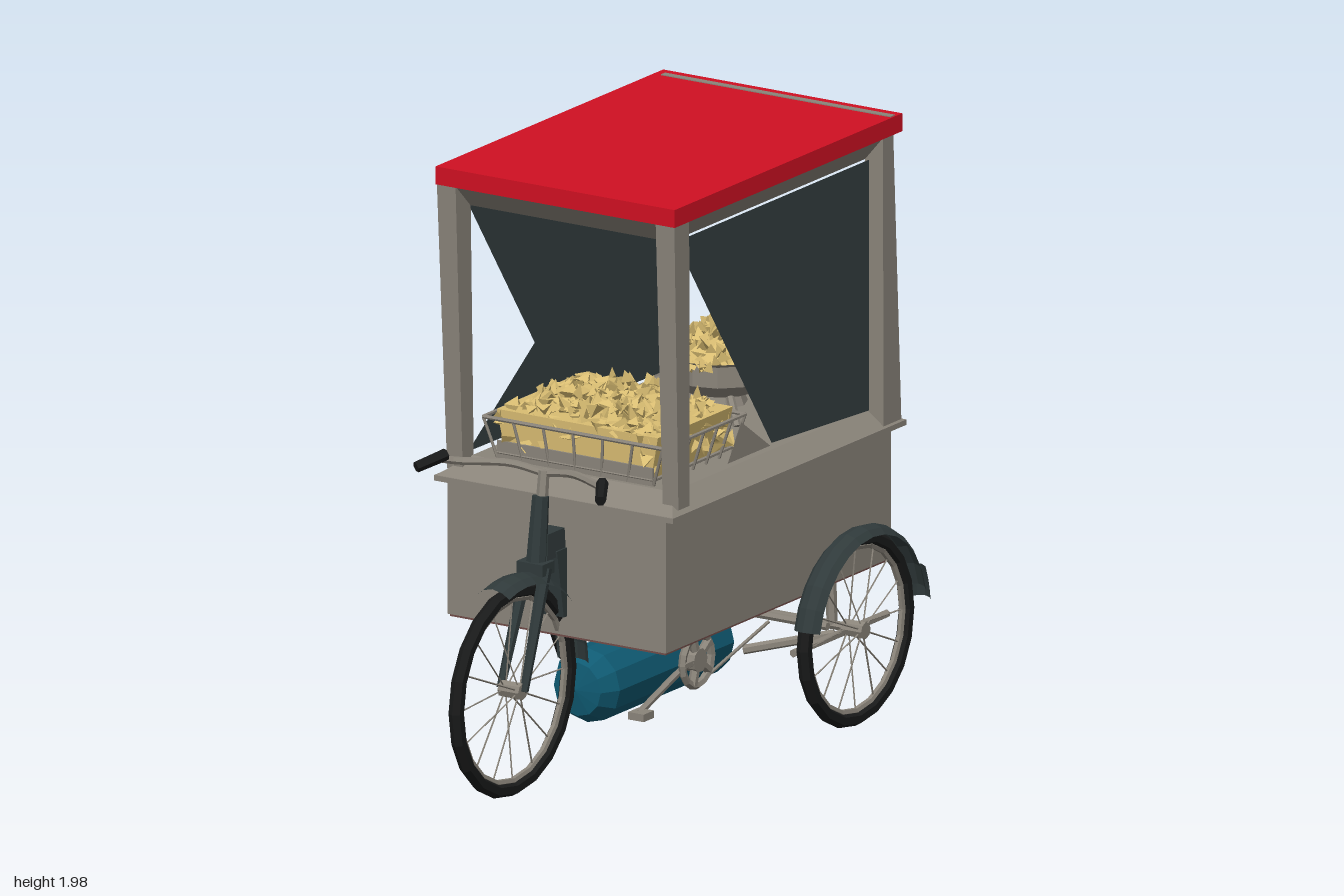
import * as THREE from 'three';
import { mergeGeometries } from 'three/addons/utils/BufferGeometryUtils.js';

const mat = (name, color, side = THREE.FrontSide) =>
  new THREE.MeshStandardMaterial({ name, color, side, flatShading: true });
const M = {
  steel: mat('steel grey', 0x8a847a, THREE.DoubleSide),
  red: mat('roof red', 0xd01022),
  panel: mat('dark panel', 0x353f41, THREE.DoubleSide),
  tyre: mat('tyre black', 0x191a1a),
  frame: mat('frame charcoal', 0x303a3b, THREE.DoubleSide),
  teal: mat('tank teal', 0x0f5a72),
  food: mat('snack gold', 0xd9bd72),
  floor: mat('floor brown', 0x704c48),
};
const V = (p) => new THREE.Vector3(...p);

export function createModel() {
  const root = new THREE.Group();
  root.name = 'foodCart';
  const add = (name, geo, material, parent = root) => {
    const m = new THREE.Mesh(geo, material);
    m.name = name;
    parent.add(m);
    return m;
  };
  // Box given by its limits
  const box = (x0, x1, y0, y1, z0, z1) =>
    new THREE.BoxGeometry(x1 - x0, y1 - y0, z1 - z0).translate((x0 + x1) / 2, (y0 + y1) / 2, (z0 + z1) / 2);
  // Tapered block: b and t are [x0, x1, z0, z1] at heights y0 and y1
  const taper = (b, t, y0, y1) => {
    const g = new THREE.BoxGeometry(1, 1, 1), p = g.attributes.position;
    for (let i = 0; i < p.count; i++) {
      const up = p.getY(i) > 0, q = up ? t : b;
      p.setXYZ(i, q[p.getX(i) > 0 ? 1 : 0], up ? y1 : y0, q[p.getZ(i) > 0 ? 3 : 2]);
    }
    g.computeVertexNormals();
    return g;
  };
  // Straight rod between two points
  const rod = (a, b, r, r2 = r, n = 6) => {
    const A = V(a), B = V(b), d = B.clone().sub(A);
    const g = new THREE.CylinderGeometry(r2, r, d.length(), n);
    g.applyQuaternion(new THREE.Quaternion().setFromUnitVectors(V([0, 1, 0]), d.normalize()));
    return g.translate(...A.add(B).multiplyScalar(0.5).toArray());
  };
  const tube = (pts, r) => new THREE.TubeGeometry(new THREE.CatmullRomCurve3(pts.map(V)), 10, r, 6);

  // Cargo box, rim and counter
  add('cargoBox', box(-0.42, 0.42, 0.485, 0.935, -0.94, 0.38), M.steel);
  add('boxFloor', box(-0.415, 0.415, 0.477, 0.486, -0.935, 0.375), M.floor);
  add('rim', box(-0.46, 0.46, 0.93, 0.948, -0.97, 0.4), M.steel);
  add('counter', taper([-0.455, 0.455, -0.965, 0.395], [-0.385, 0.385, -0.85, 0.29], 0.948, 1.0), M.steel);

  // Roof with its soffit and rear strip
  add('soffit', taper([-0.385, 0.385, -0.84, 0.3], [-0.455, 0.455, -0.925, 0.385], 1.84, 1.922), M.steel);
  add('roof', box(-0.46, 0.46, 1.92, 1.98, -0.945, 0.39), M.red);
  add('roofStrip', box(-0.43, 0.455, 1.979, 1.983, -0.91, -0.885), M.steel);

  // Corner posts and side panels
  for (const s of [-1, 1]) {
    const xs = (a, b) => (s > 0 ? [a, b] : [-b, -a]);
    add('frontPost', taper([...xs(0.385, 0.445), 0.28, 0.345], [...xs(0.385, 0.457), 0.3, 0.387], 0.96, 1.92), M.steel);
    add('backPost', taper([...xs(0.385, 0.45), -0.955, -0.85], [...xs(0.385, 0.455), -0.9, -0.84], 0.95, 1.92), M.steel);
    const pts = s > 0
      ? [[0.29, 1.84], [-0.27, 1.03], [-0.84, 1.0], [-0.84, 1.84]]
      : [[0.29, 1.84], [-0.1, 1.28], [0.29, 1.01], [-0.84, 1.0], [-0.84, 1.84]];
    const shape = new THREE.Shape(pts.map(([z, y]) => new THREE.Vector2(-z, y)));
    add('sidePanel', new THREE.ShapeGeometry(shape).rotateY(Math.PI / 2).translate(s * 0.4, 0, 0), M.panel);
  }
  const flap = new THREE.Shape([[0.02, 1.02], [0.27, 1.02], [0.1, 1.14]].map((p) => new THREE.Vector2(...p)));
  add('sideFlap', new THREE.ShapeGeometry(flap).rotateY(Math.PI / 2).translate(0.395, 0, 0), M.steel);

  // Snack heaps: a mound covered in small random flakes
  let seed = 7;
  const rnd = () => (seed = (seed * 16807) % 2147483647) / 2147483647;
  const heap = (name, count, place) => {
    const list = [];
    for (let i = 0; i < count; i++) {
      const g = new THREE.TetrahedronGeometry(0.035);
      g.scale(0.6 + rnd() * 0.7, 0.4 + rnd() * 0.4, 0.6 + rnd() * 0.7);
      g.rotateX(rnd() * 6).rotateY(rnd() * 6).rotateZ(rnd() * 6);
      list.push(g.translate(...place()));
    }
    add(name, mergeGeometries(list), M.food);
  };
  add('trayFill', taper([-0.28, 0.28, -0.17, 0.255], [-0.31, 0.31, -0.18, 0.26], 1.01, 1.16), M.food);
  heap('trayHeap', 420, () => {
    const u = rnd() * 2 - 1, w = rnd() * 2 - 1;
    const edge = Math.max(Math.abs(u), Math.abs(w));
    const top = 1.225 - 0.05 * u * u - 0.02 * w * w;
    return [u * 0.31, edge > 0.88 ? 1.04 + rnd() * (top - 1.05) : top - rnd() * 0.05, 0.04 + w * 0.225];
  });
  add('potFill', new THREE.ConeGeometry(0.16, 0.14, 10).translate(0, 1.23, -0.58), M.food);
  heap('potHeap', 150, () => {
    const a = rnd() * 6.283, r = Math.sqrt(rnd());
    return [Math.cos(a) * r * 0.165, 1.305 - r * r * 0.11 - rnd() * 0.02, -0.58 + Math.sin(a) * r * 0.165];
  });

  // Wire tray around the front heap
  const tray = [];
  const ring = (y, x, z0, z1) => {
    const c = [[-x, y, z0], [x, y, z0], [x, y, z1], [-x, y, z1]];
    c.forEach((p, i) => tray.push(rod(p, c[(i + 1) % 4], 0.007)));
  };
  ring(1.02, 0.3, -0.19, 0.27);
  ring(1.135, 0.345, -0.2, 0.285);
  for (let i = 0; i <= 6; i++) {
    const t = i / 3 - 1;
    for (const s of [-1, 1]) {
      tray.push(rod([t * 0.3, 1.0, 0.04 + s * 0.23], [t * 0.345, 1.135, 0.043 + s * 0.243], 0.005));
      tray.push(rod([s * 0.3, 1.0, 0.04 + t * 0.23], [s * 0.345, 1.135, 0.043 + t * 0.243], 0.005));
    }
  }
  add('wireTray', mergeGeometries(tray), M.steel);
  add('trayFront', box(-0.3, 0.3, 1.0, 1.06, 0.268, 0.275), M.steel);

  // Pot on a small burner stand
  const pot = [[0, 1.08], [0.13, 1.08], [0.165, 1.12], [0.165, 1.19], [0.175, 1.2]].map((p) => new THREE.Vector2(...p));
  add('pot', new THREE.LatheGeometry(pot, 12).translate(0, 0, -0.58), M.steel);
  add('burner', new THREE.CylinderGeometry(0.07, 0.09, 0.05, 8).translate(0, 1.055, -0.58), M.steel);
  for (const x of [-1, 1]) for (const z of [-1, 1])
    add('burnerLeg', rod([x * 0.15, 1.0, -0.58 + z * 0.13], [x * 0.09, 1.08, -0.58 + z * 0.08], 0.014), M.steel);

  // Spoked wheel
  const wheel = (name, x, y, z, R) => {
    const g = new THREE.Group();
    g.name = name;
    g.position.set(x, y, z);
    add('tyre', new THREE.TorusGeometry(R - 0.025, 0.025, 6, 20).rotateY(Math.PI / 2), M.tyre, g);
    add('wheelRim', new THREE.TorusGeometry(R - 0.05, 0.011, 5, 20).rotateY(Math.PI / 2), M.steel, g);
    add('hub', rod([-0.04, 0, 0], [0.04, 0, 0], 0.028, 0.028, 8), M.steel, g);
    const spokes = [];
    for (let i = 0; i < 16; i++) {
      const a = (i / 16) * Math.PI * 2, c = Math.cos(a), s = Math.sin(a);
      spokes.push(rod([(i % 2 - 0.5) * 0.05, 0.02 * s, 0.02 * c], [0, (R - 0.05) * s, (R - 0.05) * c], 0.003, 0.003, 4));
    }
    add('spokes', mergeGeometries(spokes), M.steel, g);
    root.add(g);
  };
  // Curved mudguard, angles in degrees from the front over the top
  const fender = (name, x, y, z, r, w, from, to) => {
    const prof = [[r - 0.02, -w], [r, -w * 0.6], [r + 0.01, 0], [r, w * 0.6], [r - 0.02, w]];
    const rad = Math.PI / 180;
    const g = new THREE.LatheGeometry(prof.map((p) => new THREE.Vector2(...p)), 12, from * rad, (to - from) * rad);
    add(name, g.rotateZ(Math.PI / 2).translate(x, y, z), M.frame);
  };
  wheel('frontWheel', 0, 0.36, 0.64, 0.355);
  fender('frontFender', 0, 0.36, 0.64, 0.375, 0.06, 72, 178);
  for (const s of [-1, 1]) {
    wheel('rearWheel', s * 0.48, 0.33, -0.64, 0.325);
    fender('rearFender', s * 0.498, 0.33, -0.64, 0.338, 0.05, 12, 168);
    fender('fenderTail', s * 0.505, 0.33, -0.64, 0.362, 0.04, 158, 176);
    // Axle brackets
    add('axleBracket', rod([s * 0.39, 0.33, -0.64], [s * 0.385, 0.49, -0.64], 0.018), M.steel);
    add('axleStay', rod([s * 0.43, 0.31, -0.35], [s * 0.43, 0.31, -0.9], 0.014), M.steel);
    add('axleBrace', rod([s * 0.4, 0.3, -0.64], [s * 0.14, 0.24, -0.5], 0.016), M.steel);
    // Fork, handlebar and grip
    add('forkBlade', rod([s * 0.035, 0.74, 0.5], [s * 0.045, 0.36, 0.64], 0.022, 0.014), M.frame);
    add('handlebar', tube([[0, 1.04, 0.45], [s * 0.12, 1.06, 0.47], [s * 0.27, 1.06, 0.54], [s * 0.31, 1.07, 0.58]], 0.013), M.steel);
    add('grip', rod([s * 0.3, 1.085, 0.57], [s * 0.355, 1.055, 0.665], 0.02, 0.018), M.tyre);
    // Cranks and pedals
    add('crank', rod([s * 0.12, 0.27, -0.22], [s * 0.15, 0.18, s * 0.16 - 0.03], 0.012), M.steel);
    add('pedal', box(s * 0.16 - 0.03, s * 0.16 + 0.03, 0.165, 0.19, s * 0.16 - 0.06, s * 0.16), M.steel);
  }
  add('rearAxle', rod([-0.48, 0.33, -0.64], [0.48, 0.33, -0.64], 0.015), M.steel);
  add('crossBar', rod([-0.4, 0.335, -0.6], [0.4, 0.335, -0.6], 0.014), M.steel);

  // Steering column and head bracket
  add('stem', rod([0, 0.85, 0.48], [0, 1.05, 0.455], 0.022, 0.018), M.steel);
  add('headTube', rod([0, 0.7, 0.505], [0, 0.97, 0.475], 0.036, 0.028, 8), M.frame);
  add('forkCrown', box(-0.05, 0.05, 0.72, 0.76, 0.47, 0.54), M.frame);
  add('headArm', taper([-0.035, 0.035, 0.37, 0.49], [-0.03, 0.03, 0.38, 0.48], 0.76, 0.845), M.frame);
  add('headPlate', taper([-0.04, 0.04, 0.37, 0.4], [-0.04, 0.04, 0.37, 0.44], 0.55, 0.78), M.frame);

  // Gas tank with brackets
  const tank = [[0, -0.53], [0.08, -0.52], [0.125, -0.47], [0.125, 0.2], [0.09, 0.26], [0, 0.275]];
  const tankGeo = new THREE.LatheGeometry(tank.map((p) => new THREE.Vector2(...p)), 12);
  add('gasTank', tankGeo.rotateX(Math.PI / 2).translate(0, 0.27, 0), M.teal);
  for (const z of [0.08, -0.28])
    add('tankBracket', taper([-0.04, 0.04, z - 0.03, z + 0.03], [-0.05, 0.05, z - 0.05, z + 0.05], 0.385, 0.485), M.steel);

  // Chainwheel and chain line
  const cx = 0.145;
  add('chainwheel', new THREE.TorusGeometry(0.085, 0.014, 5, 16).rotateY(Math.PI / 2).translate(cx, 0.275, -0.22), M.steel);
  add('chainwheelCentre', rod([cx - 0.03, 0.275, -0.22], [cx + 0.015, 0.275, -0.22], 0.04, 0.04, 10), M.steel);
  for (let i = 0; i < 5; i++) {
    const a = i * Math.PI * 0.4;
    add('chainwheelArm', rod([cx, 0.275, -0.22], [cx, 0.275 + 0.085 * Math.sin(a), -0.22 + 0.085 * Math.cos(a)], 0.016), M.steel);
  }
  for (const s of [-1, 1])
    add('chain', rod([cx, 0.275 + s * 0.085, -0.22], [cx, 0.33 + s * 0.03, -0.64], 0.006), M.steel);

  return root;
}
